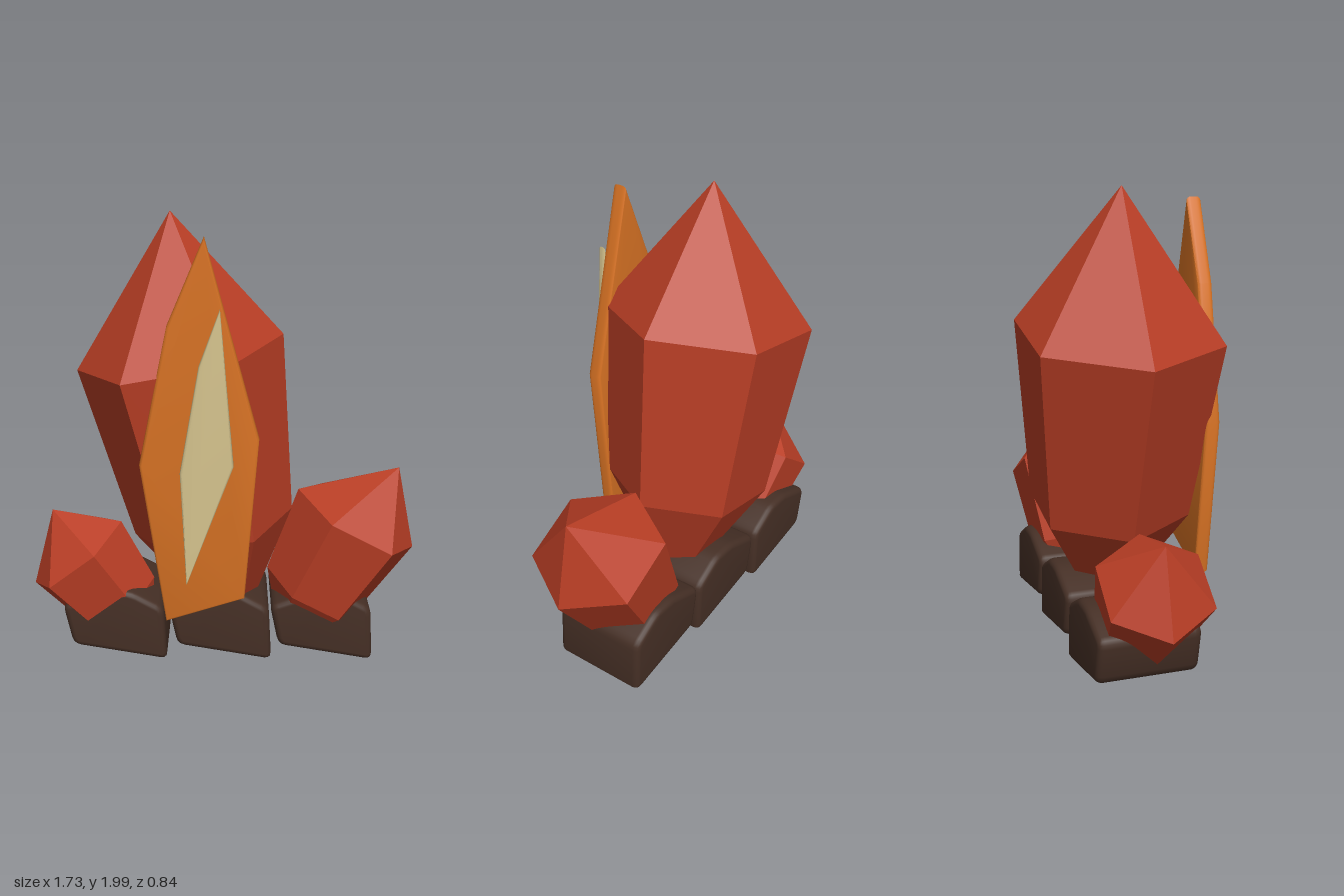
import * as THREE from 'three';
import { toCreasedNormals } from 'three/addons/utils/BufferGeometryUtils.js';

const material = (name, color) => {
  const m = new THREE.MeshStandardMaterial({ color });
  m.name = name;
  return m;
};

// Six-sided crystal; origin at the centre of its widest ring, tip slightly off axis
function crystalGeometry(radius, tipHeight) {
  const profile = [[0, -2.345], [0.796, -1.337], [1, 0], [0, 1]]
    .map(([r, y]) => new THREE.Vector2(r * radius, y * tipHeight));
  const lathe = new THREE.LatheGeometry(profile, 6, Math.PI / 2);
  const pos = lathe.attributes.position;
  for (let i = 0; i < pos.count; i++) {
    if (pos.getY(i) > tipHeight * 0.99) pos.setX(i, radius * 0.163);
  }
  const geo = lathe.toNonIndexed();
  geo.computeVertexNormals();
  return geo;
}

// Outline extruded between two z values, with rounded rims kept inside the outline
function slabGeometry(points, zBack, zFront, bevel, rim) {
  const shape = new THREE.Shape(points.map(([x, y]) => new THREE.Vector2(x, y)));
  const geo = new THREE.ExtrudeGeometry(shape, {
    depth: zFront - zBack - 2 * bevel,
    bevelEnabled: true,
    bevelThickness: bevel,
    bevelSize: rim,
    bevelOffset: -rim,
    bevelSegments: 4,
  });
  geo.translate(0, 0, zBack + bevel);
  return toCreasedNormals(geo, 0.6);
}

// Rounds the corners of an outline by cutting each with a small curve
function roundCorners(points, size) {
  const out = [];
  const v = points.map(([x, y]) => new THREE.Vector2(x, y));
  v.forEach((p, i) => {
    const toward = (q) => p.clone().add(q.clone().sub(p).setLength(size));
    const a = toward(v[(i + v.length - 1) % v.length]);
    const b = toward(v[(i + 1) % v.length]);
    new THREE.QuadraticBezierCurve(a, p, b).getPoints(3).forEach((c) => out.push([c.x, c.y]));
  });
  return out;
}

export function createModel() {
  const model = new THREE.Group();
  model.name = 'crystalCluster';
  const red = material('crystalRed', 0xb93e25);
  const orange = material('shardOrange', 0xd97324);
  const cream = material('glintCream', 0xd6c48e);
  const brown = material('rockBrown', 0x452f25);

  const add = (name, geo, mat) => {
    const mesh = new THREE.Mesh(geo, mat);
    mesh.name = name;
    model.add(mesh);
    return mesh;
  };

  // Leaning crystals: name, radius, tip height, centre x, centre y, lean in degrees
  [
    ['mainCrystal', 0.453, 0.597, -0.185, 1.40, 10.3],
    ['leftCrystal', 0.2975, 0.301, 0.603, 0.63, -28],
    ['rightCrystal', 0.2535, 0.231, -0.663, 0.458, 37],
  ].forEach(([name, r, h, x, y, lean]) => {
    const mesh = add(name, crystalGeometry(r, h), red);
    mesh.position.set(x, y, -0.025);
    mesh.rotation.z = THREE.MathUtils.degToRad(lean);
  });

  // Orange shard in front of the main crystal
  add('frontShard', slabGeometry([
    [-0.07, 1.945], [-0.22, 1.595], [-0.34, 1.02], [-0.24, 0.313], [0.095, 0.42], [0.151, 1.13],
  ], 0.313, 0.376, 0.02, 0.012), orange);

  // Pale glint floating before the shard
  add('glint', slabGeometry([
    [-0.008, 1.675], [-0.093, 1.446], [-0.172, 1.0], [-0.15, 0.5], [0.047, 1.03],
  ], 0.387, 0.418, 0.015, 0.01), cream);

  // Three matching base rocks
  const rock = slabGeometry(roundCorners([
    [-0.245, 0.275], [-0.205, 0.078], [0.222, 0.002], [0.208, 0.262], [0.06, 0.345], [-0.05, 0.345],
  ], 0.035), -0.277, 0.16, 0.03, 0.025);
  [['rightRock', -0.472], ['middleRock', 0], ['leftRock', 0.458]].forEach(([name, x]) => {
    add(name, rock, brown).position.x = x;
  });

  return model;
}
